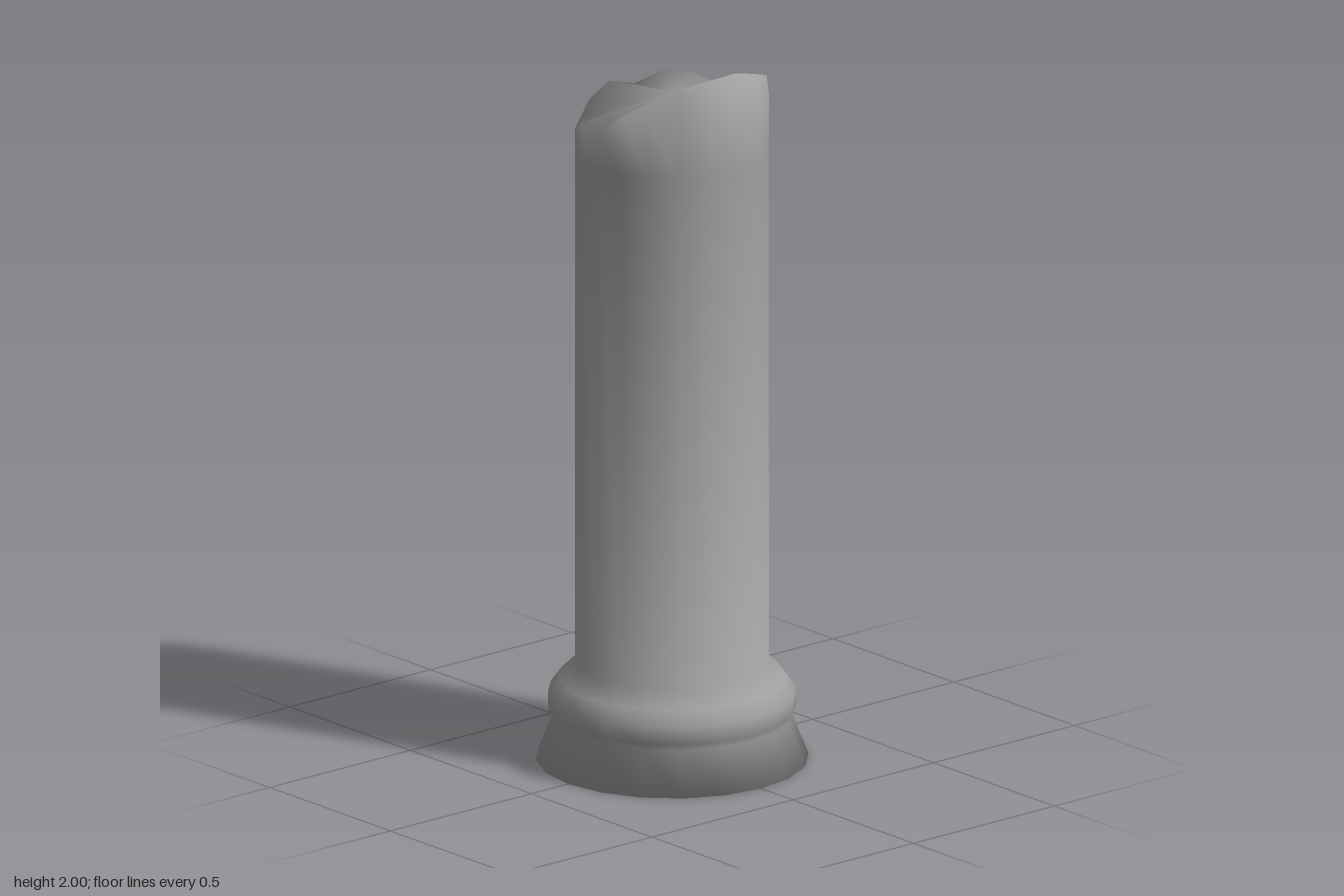
import * as THREE from 'three';
import { mergeVertices } from 'three/addons/utils/BufferGeometryUtils.js';

const SIDES = 20;
const RADIUS = 0.262;

// Heights of the broken rim, from the front (+z) round through +x
const RIM = [2.0, 1.978, 1.95, 1.872, 1.885, 1.815, 1.83, 1.855, 1.862, 1.83,
  1.85, 1.817, 1.775, 1.787, 1.83, 1.825, 1.885, 1.872, 1.95, 1.978];

// Radius and height from the underside, up the foot, moulding and shaft
const PROFILE = [[0, 0], [0.369, 0], [0.322, 0.12], [0.334, 0.14], [0.336, 0.19],
  [0.307, 0.23], [RADIUS, 0.275], [RADIUS, 1.72], [RADIUS, 1.85], [0, 1.883]];
const RIM_ROW = PROFILE.length - 2;

// Weld all corners and smooth them, each face counting by its angle at the corner
function smooth(geometry) {
  geometry.deleteAttribute('uv');
  geometry.deleteAttribute('normal');
  const welded = mergeVertices(geometry, 1e-4);
  const position = welded.attributes.position;
  const index = welded.index;
  const point = (i) => new THREE.Vector3().fromBufferAttribute(position, i);
  const sums = Array.from({ length: position.count }, () => new THREE.Vector3());

  for (let f = 0; f < index.count; f += 3) {
    const ids = [0, 1, 2].map((k) => index.getX(f + k));
    if (new Set(ids).size < 3) continue;
    const corners = ids.map(point);
    const normal = new THREE.Triangle(...corners).getNormal(new THREE.Vector3());
    ids.forEach((id, k) => {
      const a = corners[(k + 1) % 3].clone().sub(corners[k]);
      const b = corners[(k + 2) % 3].clone().sub(corners[k]);
      sums[id].addScaledVector(normal, a.angleTo(b));
    });
  }

  const normals = sums.flatMap((n) => n.normalize().toArray());
  welded.setAttribute('normal', new THREE.Float32BufferAttribute(normals, 3));
  return welded;
}

export function createModel() {
  const model = new THREE.Group();
  model.name = 'brokenColumn';

  // Foot, moulding and shaft turned as one piece
  const geometry = new THREE.LatheGeometry(
    PROFILE.map(([r, y]) => new THREE.Vector2(r, y)), SIDES);

  // Jagged fracture fanning out from the centre of the top
  for (let i = 0; i <= SIDES; i++) {
    geometry.attributes.position.setY(i * PROFILE.length + RIM_ROW, RIM[i % SIDES]);
  }

  const column = new THREE.Mesh(smooth(geometry),
    new THREE.MeshStandardMaterial({ color: 0xa0a0a0 }));
  column.name = 'column';
  model.add(column);

  return model;
}
